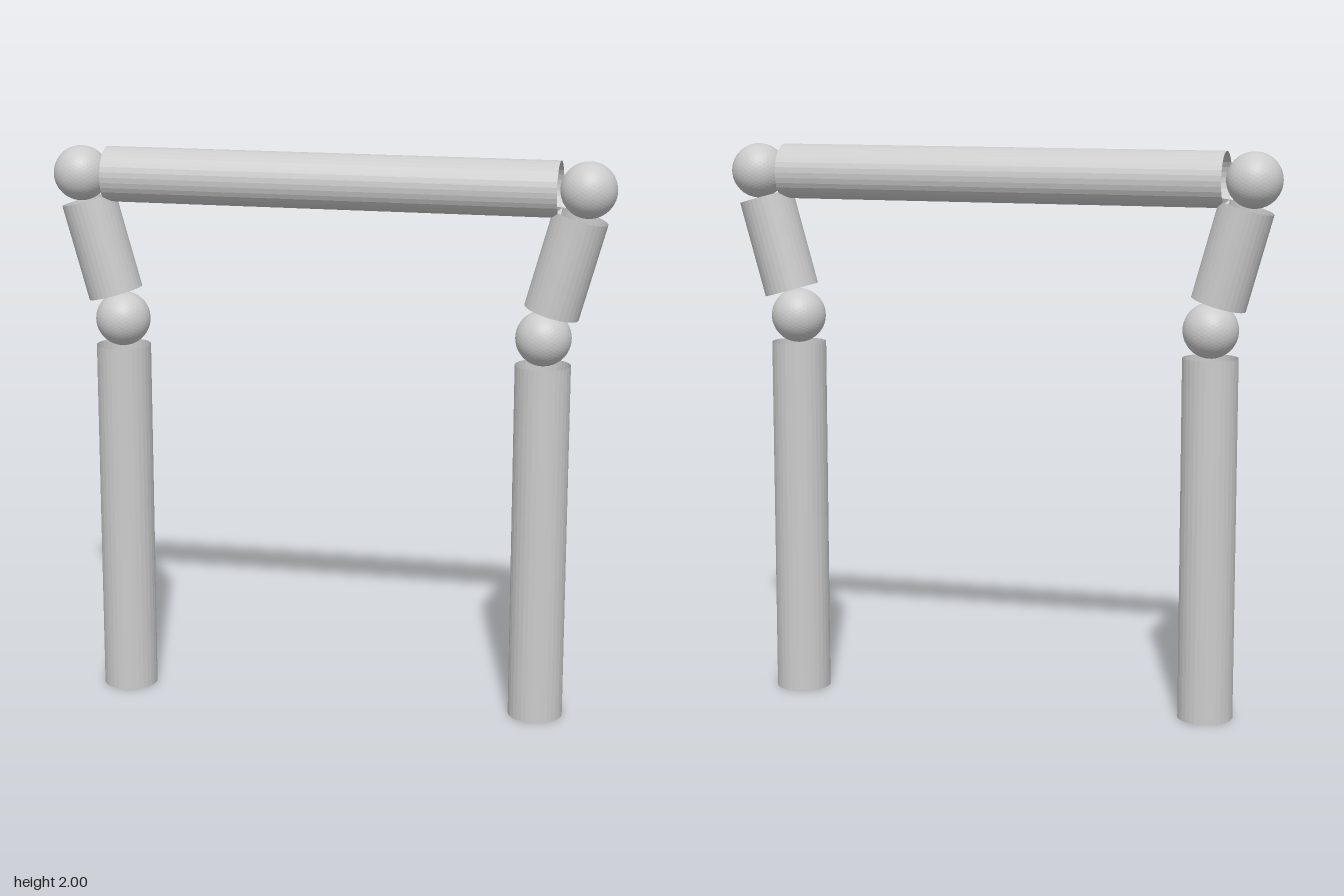
import * as THREE from 'three';

const R = 0.0975; // shared radius of tubes and joints
const material = new THREE.MeshStandardMaterial({
  color: 0xcccccc, flatShading: true, side: THREE.DoubleSide,
});

// Open tube centred between two points, optionally shorter than their distance
function tube(name, a, b, length = a.distanceTo(b)) {
  const mesh = new THREE.Mesh(new THREE.CylinderGeometry(R, R, length, 32, 1, true), material);
  mesh.name = name;
  mesh.position.lerpVectors(a, b, 0.5);
  mesh.quaternion.setFromUnitVectors(new THREE.Vector3(0, 1, 0), b.clone().sub(a).normalize());
  return mesh;
}

function ball(name, center) {
  const mesh = new THREE.Mesh(new THREE.IcosahedronGeometry(R, 7), material);
  mesh.name = name;
  mesh.position.copy(center);
  return mesh;
}

export function createModel() {
  const model = new THREE.Group();
  model.name = 'tubeFrame';

  // Horizontal bar between the upper joints
  model.add(tube('crossbar', new THREE.Vector3(-0.805, 1.9025, 0), new THREE.Vector3(0.805, 1.9025, 0)));

  // Each side: upper joint, slanted tube, lower joint, upright post
  for (const [side, s] of [['left', 1], ['right', -1]]) {
    const upper = new THREE.Vector3(s * 0.9025, 1.9025, 0);
    const lower = new THREE.Vector3(s * 0.7585, 1.3825, 0);
    const postTop = new THREE.Vector3(s * 0.7585, 1.287, 0);
    const foot = new THREE.Vector3(s * 0.7585, 0, 0);
    const support = new THREE.Group();
    support.name = side + 'Support';
    support.add(
      ball(side + 'UpperJoint', upper),
      tube(side + 'SlantedTube', upper, lower, 0.348),
      ball(side + 'LowerJoint', lower),
      tube(side + 'Post', foot, postTop),
    );
    model.add(support);
  }
  return model;
}
